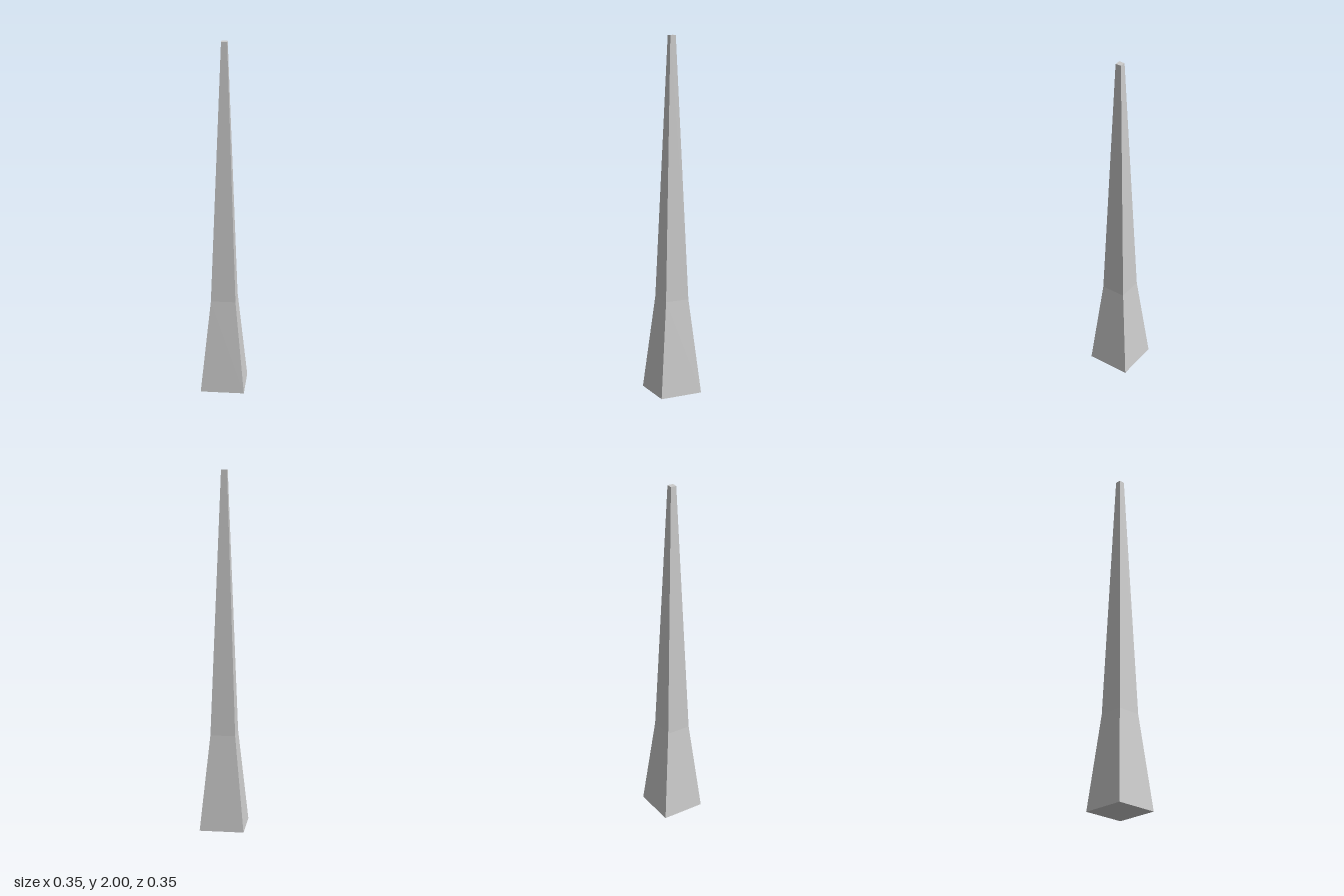
import * as THREE from 'three';

export function createModel() {
  const group = new THREE.Group();
  group.name = 'taperedSpike';

  // Profile (radius, height) from base centre to tip centre
  const profile = [
    [0, 0],
    [0.175, 0],     // foot
    [0.098, 0.54],  // kink where the taper slows
    [0.023, 2],     // blunt tip
    [0, 2],
  ].map(([r, y]) => new THREE.Vector2(r, y));

  // Four-sided shaft with its corners on the x and z axes
  const geometry = new THREE.LatheGeometry(profile, 4).toNonIndexed();
  geometry.computeVertexNormals();

  const shaft = new THREE.Mesh(
    geometry,
    new THREE.MeshStandardMaterial({ color: 0xcccccc, flatShading: true })
  );
  shaft.name = 'shaft';
  group.add(shaft);
  return group;
}
